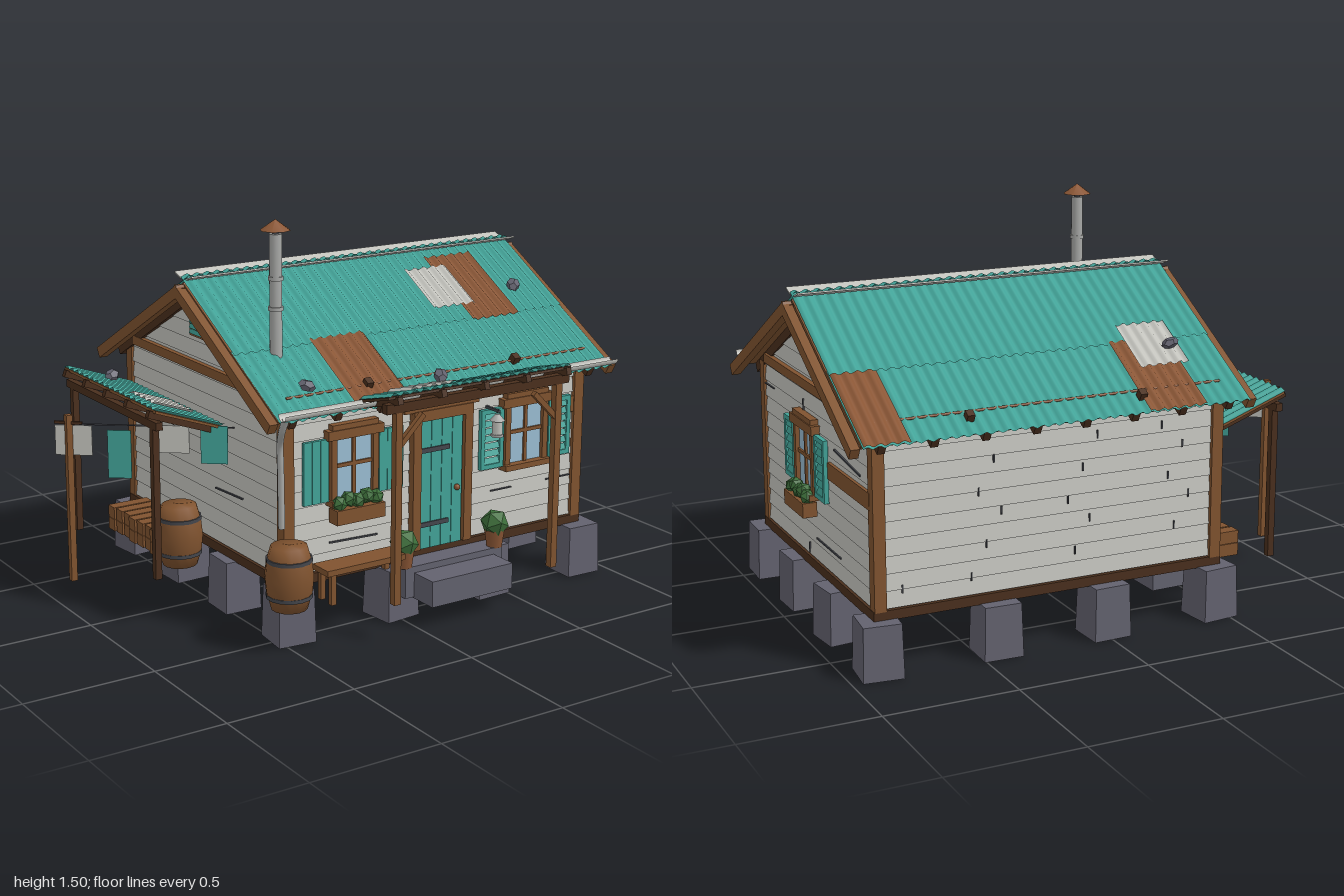
import * as THREE from 'three';

const M = {};
for (const [name, color] of Object.entries({
  teal: 0x42a398, paleBoard: 0xc3c3bd, wood: 0x80532f, darkWood: 0x4a2f1d, rust: 0x8a5635,
  stone: 0x62616e, metal: 0xa9aaa8, iron: 0x44464c, glass: 0x9abdd3, leaf: 0x3d6e3a,
})) {
  M[name] = new THREE.MeshStandardMaterial({ color });
  M[name].name = name;
}
for (const k of ['teal', 'rust', 'paleBoard']) M[k].side = THREE.DoubleSide;

const SLOPE = 0.56, TILT = Math.atan(SLOPE), RIDGE_Z = -0.085, RIDGE_Y = 1.235;

function add(parent, name, mat, geo, x = 0, y = 0, z = 0, rx = 0, ry = 0, rz = 0) {
  const m = new THREE.Mesh(geo, mat);
  m.name = name;
  m.position.set(x, y, z);
  m.rotation.set(rx, ry, rz);
  parent.add(m);
  return m;
}
const box = (p, name, mat, w, h, d, ...t) => add(p, name, mat, new THREE.BoxGeometry(w, h, d), ...t);
const cyl = (p, name, mat, r0, r1, h, n, ...t) => add(p, name, mat, new THREE.CylinderGeometry(r0, r1, h, n), ...t);

// Square timber running from a to b
function beam(p, name, mat, a, b, w, h = w) {
  const A = new THREE.Vector3(...a), B = new THREE.Vector3(...b);
  const m = new THREE.Mesh(new THREE.BoxGeometry(w, h, A.distanceTo(B)), mat);
  m.name = name;
  m.position.copy(A).lerp(B, 0.5);
  m.lookAt(B);
  p.add(m);
}
function frame(p, name, x, y, z, yaw = 0, tilt = 0) {
  const g = new THREE.Group();
  g.name = name;
  g.position.set(x, y, z);
  g.rotation.set(tilt, yaw, 0, 'YXZ');
  p.add(g);
  return g;
}
// Corrugated sheet lying in the frame's xz plane, ribs along z
function sheet(p, name, mat, x0, x1, z0, z1, lift = 0) {
  const n = Math.round((x1 - x0) / 0.043 * 6);
  const g = new THREE.PlaneGeometry(x1 - x0, z1 - z0, n, 1).rotateX(-Math.PI / 2);
  g.translate((x0 + x1) / 2, 0, (z0 + z1) / 2);
  const a = g.attributes.position;
  for (let i = 0; i < a.count; i++) a.setY(i, lift + 0.006 * Math.cos(a.getX(i) * Math.PI * 2 / 0.043));
  g.computeVertexNormals();
  add(p, name, mat, g);
}
function rock(p, x, y, z) {
  add(p, 'roofStone', M.stone, new THREE.DodecahedronGeometry(0.032), x, y, z, 0.4, x * 9, 0.2).scale.set(1.1, 0.65, 0.85);
}
function foliage(p, x, y, z, r) {
  add(p, 'foliage', M.leaf, new THREE.IcosahedronGeometry(r), x, y, z, 0.3, x * 7, 0);
}

// Overlapping boards, following the gable above the eaves
function siding(wall, half, top, gable) {
  const pitch = 0.0625;
  const hw = y => gable ? Math.max(0.004, Math.min(half, (1.19 - y) / SLOPE)) : half;
  for (let y = 0.235; y < top - 0.01; y += pitch) {
    const b = hw(y), y1 = Math.min(y + pitch - 0.001, top), t = hw(y1), h = y1 - y;
    const s = new THREE.Shape([[-b, 0], [b, 0], [t, h], [-t, h]].map(q => new THREE.Vector2(...q)));
    add(wall, 'sidingBoard', M.paleBoard, new THREE.ExtrudeGeometry(s, { depth: 0.012, bevelEnabled: false }), 0, y, 0, -0.12);
  }
}
function crack(wall, x, y, w, h, rz = 0) {
  box(wall, 'crack', M.iron, w, h, 0.006, x, y, 0.011, 0, 0, rz);
}
function shutter(wall, x, y, louvred) {
  const w = 0.107, h = 0.235;
  if (!louvred) {
    for (const i of [-1, 0, 1]) box(wall, 'shutterBoard', M.teal, w / 3 - 0.001, h, 0.014, x + i * w / 3, y, 0.022);
    return;
  }
  for (const s of [-1, 1]) {
    box(wall, 'shutterStile', M.teal, 0.018, h, 0.018, x + s * (w / 2 - 0.009), y, 0.024);
    box(wall, 'shutterRail', M.teal, w, 0.018, 0.018, x, y + s * (h / 2 - 0.009), 0.024);
  }
  for (let i = 0; i < 7; i++) box(wall, 'shutterSlat', M.teal, w - 0.03, 0.024, 0.006, x, y - 0.088 + i * 0.0293, 0.024, -0.4);
}
function planter(wall, x, y) {
  box(wall, 'planter', M.wood, 0.21, 0.055, 0.055, x, y, 0.05);
  for (let i = 0; i < 5; i++) foliage(wall, x - 0.08 + i * 0.04, y + 0.045 + (i % 2) * 0.012, 0.05, 0.031);
}
function windowUnit(wall, x, louvred, boxed) {
  const y = 0.615;
  box(wall, 'windowGlass', M.glass, 0.18, 0.24, 0.008, x, y, 0.016);
  for (const s of [-1, 1]) box(wall, 'windowJamb', M.wood, 0.024, 0.25, 0.028, x + s * 0.09, y, 0.022);
  box(wall, 'windowSill', M.wood, 0.22, 0.022, 0.045, x, y - 0.125, 0.03);
  box(wall, 'windowHead', M.wood, 0.24, 0.035, 0.035, x, y + 0.13, 0.026);
  box(wall, 'windowCap', M.wood, 0.2, 0.02, 0.03, x, y + 0.157, 0.024);
  box(wall, 'mullion', M.wood, 0.014, 0.24, 0.014, x, y, 0.021);
  box(wall, 'mullion', M.wood, 0.17, 0.014, 0.014, x, y + 0.01, 0.021);
  for (const s of [-1, 1]) shutter(wall, x + s * 0.163, y, louvred);
  if (boxed) planter(wall, x, 0.445);
}
function barrel(p, x, y, z) {
  const g = frame(p, 'barrel', x, y, z);
  const pts = [[0, 0], [0.066, 0], [0.083, 0.06], [0.089, 0.118], [0.083, 0.176], [0.066, 0.235], [0, 0.235]];
  add(g, 'barrelStaves', M.wood, new THREE.LatheGeometry(pts.map(q => new THREE.Vector2(...q)), 14));
  for (const h of [0.05, 0.185]) cyl(g, 'barrelHoop', M.iron, 0.084, 0.084, 0.014, 14, 0, h, 0);
}

export function createModel() {
  const root = new THREE.Group();
  root.name = 'cabin';

  // Tapered footing stones around the perimeter
  const xs = [-0.45, 0, 0.43, 0.88], zs = [0.5, 0.11, -0.28, -0.66];
  xs.forEach((x, i) => zs.forEach((z, j) => {
    if (i % 3 && j % 3) return;
    const g = new THREE.BoxGeometry(0.138, 0.2, 0.14), a = g.attributes.position;
    for (let k = 0; k < a.count; k++) if (a.getY(k) < 0) { a.setX(k, a.getX(k) * 1.08); a.setZ(k, a.getZ(k) * 1.08); }
    g.computeVertexNormals();
    add(root, 'footing', M.stone, g, x, 0.1, z, 0, ((i * 3 + j * 5) % 4 - 1.5) * 0.07, 0);
  }));

  // Floor and wall core
  box(root, 'floorSill', M.darkWood, 1.38, 0.036, 1.19, 0.21, 0.215, RIDGE_Z);
  for (let i = 0; i < 9; i++) box(root, 'floorBoard', M.wood, 1.34, 0.006, 0.126, 0.21, 0.195, -0.601 + i * 0.129);
  const prof = [[-0.571, 0.23], [0.571, 0.23], [0.571, 0.86], [0, 1.185], [-0.571, 0.86]].map(q => new THREE.Vector2(...q));
  const core = new THREE.ExtrudeGeometry(new THREE.Shape(prof), { depth: 1.332, bevelEnabled: false });
  add(root, 'wallCore', M.paleBoard, core, -0.456, 0, RIDGE_Z, 0, Math.PI / 2);
  for (const x of [-0.455, 0.875]) for (const z of [0.49, -0.66]) box(root, 'cornerPost', M.wood, 0.045, 0.64, 0.045, x, 0.55, z);

  // Walls, each in a frame facing outward
  const front = frame(root, 'frontWall', 0.21, 0, 0.49);
  const back = frame(root, 'backWall', 0.21, 0, -0.66, Math.PI);
  const left = frame(root, 'leftGable', 0.88, 0, RIDGE_Z, Math.PI / 2);
  const right = frame(root, 'rightGable', -0.46, 0, RIDGE_Z, -Math.PI / 2);
  for (const w of [front, back]) siding(w, 0.65, 0.86, false);
  for (const w of [left, right]) {
    siding(w, 0.565, 1.185, true);
    box(w, 'tieBeam', M.wood, 1.04, 0.036, 0.024, 0, 0.893, 0.014);
    box(w, 'ventFrame', M.wood, 0.115, 0.095, 0.02, 0, 1.055, 0.014);
    for (let i = 0; i < 4; i++) box(w, 'ventSlat', M.teal, 0.095, 0.017, 0.008, 0, 1.025 + i * 0.02, 0.026, -0.3);
  }
  windowUnit(left, -0.06, true, true);
  windowUnit(front, -0.39, false, true);
  windowUnit(front, 0.4, true, false);
  box(left, 'patchBoard', M.wood, 0.41, 0.062, 0.014, 0.36, 0.622, 0.012);
  box(front, 'patchBoard', M.wood, 0.07, 0.062, 0.014, 0.63, 0.69, 0.012);
  crack(left, 0.34, 0.7, 0.26, 0.007, -0.1);
  crack(left, 0.13, 0.32, 0.25, 0.006);
  crack(left, -0.51, 0.785, 0.12, 0.004);
  crack(left, -0.11, 0.8, 0.005, 0.05);
  crack(left, 0.21, 0.86, 0.005, 0.03);
  crack(left, -0.08, 0.26, 0.005, 0.04);
  crack(front, -0.38, 0.33, 0.21, 0.006, -0.03);
  crack(front, 0.3, 0.4, 0.1, 0.005);
  crack(front, 0.58, 0.4, 0.12, 0.005);
  crack(right, 0.2, 0.45, 0.2, 0.006, 0.05);
  for (let i = 0; i < 16; i++) crack(back, -0.58 + (i * 0.377) % 1.16, 0.3 + (i * 0.231) % 0.5, 0.005, 0.03);

  // Plank door
  for (let i = 0; i < 4; i++) box(front, 'doorPlank', M.teal, 0.046, 0.5, 0.02, -0.07 + i * 0.048, 0.485, 0.018);
  for (const s of [-1, 1]) box(front, 'doorJamb', M.wood, 0.036, 0.53, 0.034, 0.004 + s * 0.118, 0.5, 0.02);
  box(front, 'doorHead', M.wood, 0.27, 0.04, 0.036, 0.004, 0.755, 0.022);
  box(front, 'doorLintel', M.wood, 0.34, 0.045, 0.03, -0.002, 0.795, 0.02);
  for (const y of [0.33, 0.62]) box(front, 'hingeStrap', M.iron, 0.13, 0.018, 0.006, -0.03, y, 0.031);
  add(front, 'doorKnob', M.rust, new THREE.SphereGeometry(0.012, 10, 8), 0.07, 0.455, 0.036);

  // Lantern beside the door
  box(root, 'lanternArm', M.iron, 0.01, 0.01, 0.09, 0.43, 0.74, 0.535);
  cyl(root, 'lanternGlass', M.paleBoard, 0.02, 0.02, 0.055, 8, 0.43, 0.675, 0.57);
  cyl(root, 'lanternCap', M.metal, 0.008, 0.03, 0.025, 8, 0.43, 0.715, 0.57);
  cyl(root, 'lanternBase', M.metal, 0.024, 0.024, 0.01, 8, 0.43, 0.645, 0.57);

  // Main roof: two slopes of sheets over boards, with patches given as [material, x0, x1, u0, u1]
  const patches = {
    front: [['rust', -0.22, 0.02, 0.41, 0.79], ['rust', 0.51, 0.73, 0.06, 0.44], ['paleBoard', 0.38, 0.58, 0.12, 0.35]],
    back: [['rust', 0.12, 0.35, 0.42, 0.79], ['rust', -0.96, -0.79, 0.43, 0.79], ['paleBoard', 0.18, 0.38, 0.34, 0.57]],
  };
  for (const side of ['front', 'back']) {
    const s = side === 'front' ? 1 : -1;
    const g = frame(root, side + 'RoofSlope', 0, RIDGE_Y, RIDGE_Z, s > 0 ? 0 : Math.PI, TILT);
    const [x0, x1] = s > 0 ? [-0.54, 0.96] : [-0.96, 0.54];
    sheet(g, 'upperSheets', M.teal, x0, x1, -0.02, 0.43, 0.004);
    sheet(g, 'lowerSheets', M.teal, x0, x1, 0.4, 0.79, -0.002);
    patches[side].forEach(([m, a, b, u0, u1], i) => sheet(g, 'roofPatch', M[m], a, b, u0, u1, 0.006 + i * 0.003));
    box(g, 'roofBoards', M.wood, 1.5, 0.012, 0.765, s * 0.21, -0.017, 0.385);
    cyl(g, 'roofPole', M.rust, 0.005, 0.005, 1.36, 6, s * 0.22, -0.001, 0.675, 0, 0, Math.PI / 2);
    for (const x of [-0.12, 0.55]) box(g, 'poleBlock', M.darkWood, 0.028, 0.03, 0.03, s * x, 0.012, 0.695 - s * 0.015);
    for (let i = 0; i < 8; i++) box(g, 'rafter', M.darkWood, 0.028, 0.038, 0.765, s * (-0.47 + i * 0.193), -0.04, 0.385);
    for (const x of [-0.557, 0.98]) box(g, 'bargeBoard', M.wood, 0.034, 0.042, 0.77, s * x, -0.038, 0.388);
    box(root, 'ridgeFlap', M.paleBoard, 1.5, 0.006, 0.045, 0.21, RIDGE_Y + 0.011, RIDGE_Z + s * 0.043, -s * 0.35);
  }
  box(root, 'ridgeBeam', M.darkWood, 1.53, 0.045, 0.035, 0.21, 1.185, RIDGE_Z);
  rock(root, -0.37, 0.938, 0.5);
  rock(root, 0.8, 1.11, 0.18);
  rock(root, -0.34, 1.025, -0.52);

  // Stove pipe
  cyl(root, 'stovePipe', M.metal, 0.023, 0.023, 0.45, 14, -0.375, 1.225, 0.3);
  for (const y of [1.18, 1.29]) cyl(root, 'pipeCollar', M.metal, 0.028, 0.028, 0.014, 14, -0.375, y, 0.3);
  cyl(root, 'pipeNeck', M.iron, 0.012, 0.012, 0.03, 8, -0.375, 1.455, 0.3);
  cyl(root, 'pipeCap', M.rust, 0, 0.056, 0.04, 8, -0.375, 1.483, 0.3);

  // Gutter and downspout
  const trough = new THREE.CylinderGeometry(0.024, 0.024, 1.5, 12, 1, true, 0, Math.PI).rotateX(Math.PI / 2).rotateZ(-Math.PI / 2).rotateY(Math.PI / 2);
  add(root, 'gutter', M.paleBoard, trough, 0.2, 0.885, 0.622);
  const spout = new THREE.CatmullRomCurve3([[-0.53, 0.865, 0.615], [-0.53, 0.82, 0.59], [-0.505, 0.75, 0.535], [-0.5, 0.67, 0.53], [-0.5, 0.44, 0.535]].map(q => new THREE.Vector3(...q)));
  add(root, 'downspout', M.metal, new THREE.TubeGeometry(spout, 24, 0.013, 8));

  // Porch canopy, rising outward
  const porch = frame(root, 'porchCanopy', 0, 0.87, 0.57, 0, -0.27);
  sheet(porch, 'porchSheet', M.teal, -0.2, 0.62, 0, 0.2, 0.012);
  sheet(porch, 'porchPatch', M.paleBoard, -0.06, 0.14, -0.02, 0.135, 0.02);
  box(porch, 'porchBoards', M.darkWood, 0.82, 0.01, 0.19, 0.21, 0.001, 0.1);
  for (let i = 0; i < 5; i++) box(porch, 'porchRafter', M.darkWood, 0.022, 0.028, 0.22, -0.16 + i * 0.189, -0.012, 0.1);
  rock(root, 0.14, 0.925, 0.6);
  box(root, 'porchBeam', M.darkWood, 0.82, 0.035, 0.03, 0.21, 0.88, 0.735);
  for (const [x, s] of [[-0.145, 1], [0.575, -1]]) {
    box(root, 'porchPost', M.wood, 0.028, 0.72, 0.028, x, 0.505, 0.735);
    beam(root, 'porchBrace', M.wood, [x, 0.73, 0.735], [x + s * 0.11, 0.84, 0.735], 0.02);
  }

  // Side awning, rising outward
  const awning = frame(root, 'sideAwning', -0.5, 0.71, 0, -Math.PI / 2, -0.35);
  sheet(awning, 'awningSheet', M.teal, -0.63, 0.13, 0, 0.3, 0.012);
  sheet(awning, 'awningPatch', M.paleBoard, -0.2, 0, 0.06, 0.235, 0.02);
  box(awning, 'awningBoards', M.wood, 0.75, 0.01, 0.29, -0.25, 0.001, 0.15);
  for (let i = 0; i < 5; i++) box(awning, 'awningRafter', M.darkWood, 0.022, 0.028, 0.32, -0.59 + i * 0.172, -0.014, 0.15);
  box(root, 'awningBeam', M.darkWood, 0.028, 0.03, 0.74, -0.76, 0.755, -0.25);
  for (const z of [-0.58, 0.08]) box(root, 'awningPost', M.darkWood, 0.026, 0.58, 0.026, -0.76, 0.45, z);
  rock(root, -0.64, 0.795, -0.49);

  // Clothesline with washing, each as [x, top, width, height, material]
  box(root, 'linePole', M.wood, 0.024, 0.65, 0.024, -0.96, 0.425, -0.22);
  beam(root, 'lineCrossbar', M.darkWood, [-1, 0.72, -0.255], [-0.92, 0.72, -0.185], 0.01);
  beam(root, 'clothesLine', M.iron, [-0.96, 0.715, -0.22], [-0.47, 0.715, 0.16], 0.005);
  for (const [x, y, w, h, m] of [[-0.945, 0.71, 0.11, 0.115, 'paleBoard'], [-0.81, 0.695, 0.07, 0.185, 'teal'], [-0.658, 0.718, 0.11, 0.105, 'paleBoard'], [-0.53, 0.72, 0.08, 0.145, 'teal']])
    box(root, 'washing', M[m], w * 1.26, h, 0.005, x, y - h / 2, -0.22 + (x + 0.96) * 0.776, 0, -0.66);

  // Steps, bench, pots, barrels and firewood
  box(root, 'lowerStep', M.stone, 0.37, 0.1, 0.14, 0.22, 0.135, 0.645);
  box(root, 'upperStep', M.stone, 0.45, 0.12, 0.1, 0.22, 0.15, 0.55);
  box(root, 'benchSeat', M.wood, 0.34, 0.022, 0.1, -0.19, 0.265, 0.57);
  for (const x of [-0.33, -0.05]) for (const z of [0.535, 0.605]) box(root, 'benchLeg', M.wood, 0.02, 0.12, 0.02, x, 0.2, z);
  for (const x of [0.005, 0.425]) {
    cyl(root, 'flowerPot', M.rust, 0.04, 0.03, 0.07, 10, x, 0.242, 0.575);
    foliage(root, x, 0.3, 0.575, 0.055);
  }
  barrel(root, -0.51, 0.165, 0.6);
  barrel(root, -0.61, 0.16, -0.02);
  for (let r = 0; r < 2; r++) for (let i = 0; i < 7; i++)
    box(root, 'firewoodBillet', M.wood, 0.17 - (i % 3) * 0.01, 0.048, 0.05, -0.57, 0.184 + r * 0.05, -0.5 + i * 0.058);
  return root;
}
